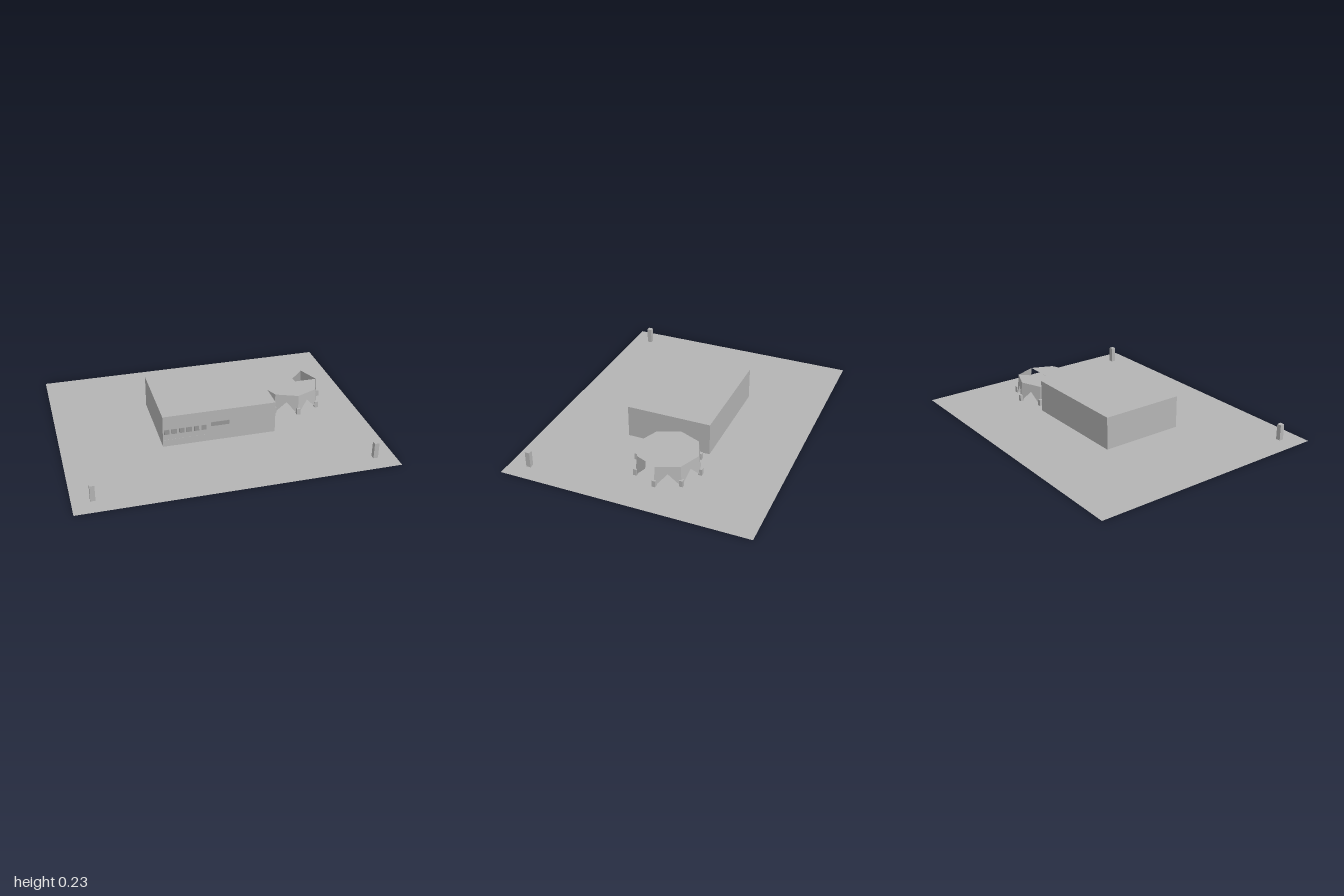
import * as THREE from 'three';

export function createModel() {
  const root = new THREE.Group();
  const stone = new THREE.MeshStandardMaterial({ color: 0xb4b4b4 });
  stone.name = 'grey';
  const sheet = new THREE.MeshStandardMaterial({ color: 0xb4b4b4, side: THREE.DoubleSide });
  sheet.name = 'grey sheet';
  const shade = new THREE.MeshStandardMaterial({ color: 0x969696 });
  shade.name = 'window grey';

  const add = (name, geometry, material, x = 0, y = 0, z = 0, parent = root) => {
    const mesh = new THREE.Mesh(geometry, material);
    mesh.name = name;
    mesh.position.set(x, y, z);
    parent.add(mesh);
    return mesh;
  };
  const box = (name, w, h, d, x, y, z, material = stone, parent = root) =>
    add(name, new THREE.BoxGeometry(w, h, d), material, x, y, z, parent);

  // Flat site
  add('ground', new THREE.PlaneGeometry(2, 1.6).rotateX(-Math.PI / 2), sheet);

  // Main hall, raised slightly above the ground
  box('hall', 0.735, 0.213, 0.55, -0.0025, 0.1215, -0.023);

  // Two rows of windows on the left half of the front, and a plaque
  for (let i = 0; i < 6; i++) {
    const x = -0.345 + i * 0.048;
    box('upperWindow', 0.032, 0.034, 0.004, x, 0.118, 0.253, shade);
    box('lowerWindow', 0.032, 0.034, 0.002, x, 0.045, 0.2525);
  }
  box('plaque', 0.12, 0.028, 0.006, 0, 0.134, 0.253, shade);

  // Gate posts
  for (const side of [-1, 1]) box('gatePost', 0.03, 0.104, 0.03, side * 0.875, 0.052, 0.675);

  // Eight-sided pavilion, leaning inward towards the top
  const pavilion = new THREE.Group();
  pavilion.name = 'pavilion';
  pavilion.position.set(0.583, 0, -0.118);
  root.add(pavilion);
  const yLow = 0.016, yTop = 0.15, yArch = 0.1;
  const corner = (i, r, y) => {
    const a = (i * Math.PI) / 4;
    return new THREE.Vector3(Math.cos(a) * r, y, Math.sin(a) * r);
  };
  const triangles = (name, list) => {
    const g = new THREE.BufferGeometry().setFromPoints(list.flat());
    g.computeVertexNormals();
    add(name, g, sheet, 0, 0, 0, pavilion);
  };
  const walls = [], roof = [];
  for (let i = 0; i < 8; i++) {
    const a = corner(i, 0.212, yLow), b = corner(i + 1, 0.212, yLow);
    const c = corner(i, 0.198, yTop), d = corner(i + 1, 0.198, yTop);
    const top = c.clone().lerp(d, 0.5);
    const arch = a.clone().lerp(b, 0.5).lerp(top, (yArch - yLow) / (yTop - yLow));
    // Pointed opening between two bracing triangles; one bay is half open
    walls.push([b, arch, d], [d, arch, top]);
    if (i !== 0) walls.push([a, c, arch], [c, top, arch]);
    // One roof segment is left open
    if (i !== 7) roof.push([new THREE.Vector3(0, yTop, 0), d, c]);
    const p = corner(i, 0.209, 0.042);
    box('pavilionFoot', 0.024, 0.042, 0.024, p.x, p.y, p.z, stone, pavilion);
  }
  triangles('pavilionWalls', walls);
  triangles('pavilionRoof', roof);

  return root;
}
